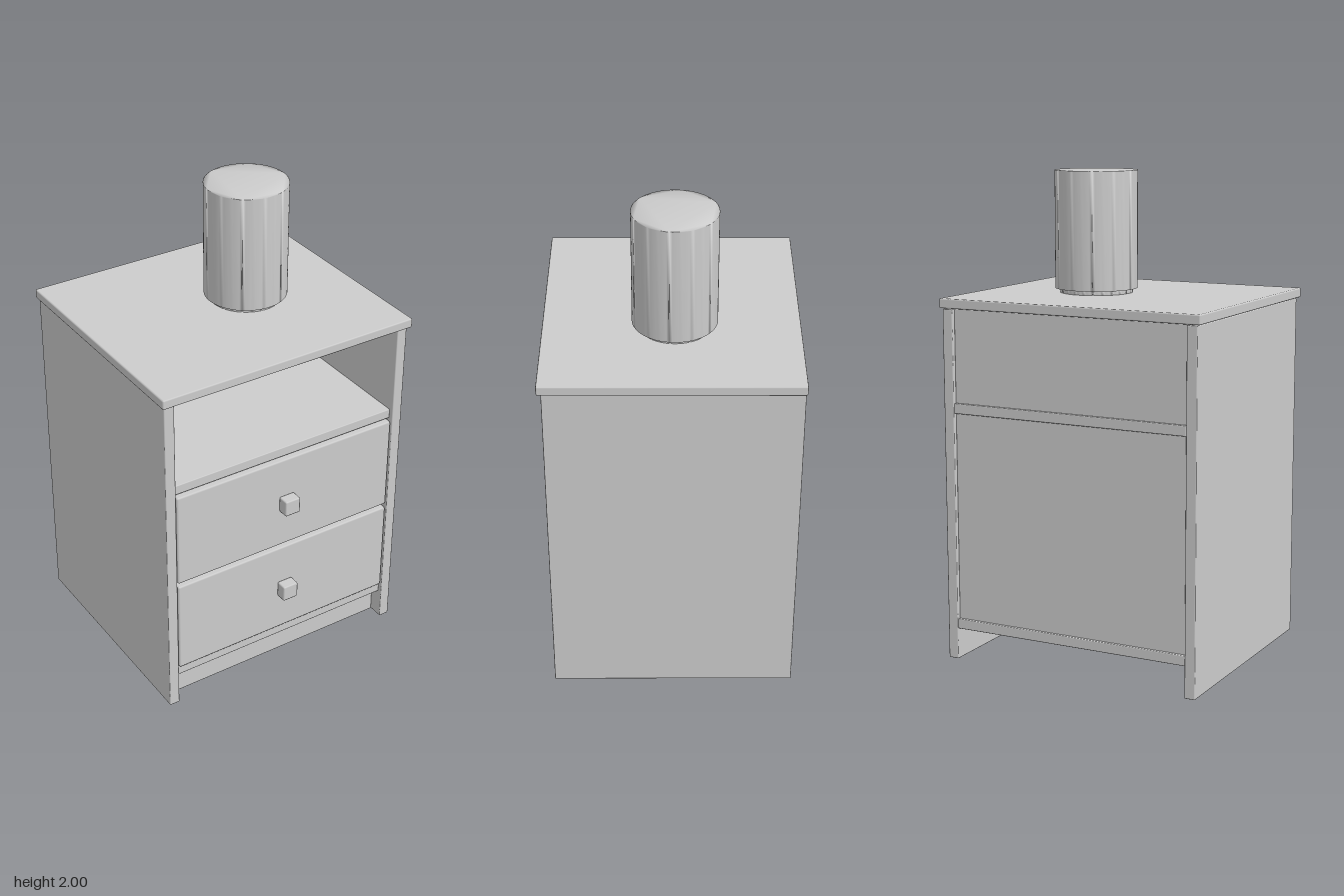
import * as THREE from 'three';
import { mergeVertices } from 'three/addons/utils/BufferGeometryUtils.js';
import { RoundedBoxGeometry } from 'three/addons/geometries/RoundedBoxGeometry.js';

const grey = new THREE.MeshStandardMaterial({ color: 0xcccccc });
grey.name = 'light grey';

export function createModel() {
  const model = new THREE.Group();
  model.name = 'nightstand';

  // Board given by its extents, with a slight edge rounding
  function board(name, [x0, x1], [y0, y1], [z0, z1], radius = 0.004) {
    const geo = new RoundedBoxGeometry(x1 - x0, y1 - y0, z1 - z0, 1, radius);
    const mesh = new THREE.Mesh(geo, grey);
    mesh.name = name;
    mesh.position.set((x0 + x1) / 2, (y0 + y1) / 2, (z0 + z1) / 2);
    model.add(mesh);
  }

  // Closed upright cylinder whose normals are blended over the rims
  function softCylinder(name, radius, y0, y1) {
    const circle = new THREE.Shape().absarc(0, 0, radius, 0, Math.PI * 2);
    let geo = new THREE.ExtrudeGeometry(circle, { depth: y1 - y0, bevelEnabled: false, curveSegments: 48 });
    geo.deleteAttribute('uv');
    geo.deleteAttribute('normal');
    geo = mergeVertices(geo, 1e-4);
    geo.computeVertexNormals();
    geo.rotateX(-Math.PI / 2);
    const mesh = new THREE.Mesh(geo, grey);
    mesh.name = name;
    mesh.position.set(0.125, y0, -0.028);
    model.add(mesh);
  }

  // Carcass
  const inner = [-0.517, 0.517];
  board('top', [-0.575, 0.575], [1.46, 1.5], [-0.525, 0.495], 0.006);
  board('leftSide', [0.517, 0.562], [0, 1.457], [-0.52, 0.478]);
  board('rightSide', [-0.562, -0.517], [0, 1.457], [-0.52, 0.478]);
  board('back', inner, [0.135, 1.46], [-0.505, -0.48]);
  board('plinth', inner, [0, 0.13], [0.37, 0.415]);
  board('shelf', inner, [1.034, 1.076], [-0.518, 0.46]);
  board('bottomShelf', inner, [0.13, 0.172], [-0.518, 0.46]);

  // Drawers with square knobs
  for (const [y0, y1] of [[0.18, 0.595], [0.612, 1.027]]) {
    const mid = (y0 + y1) / 2;
    board('drawerFront', [-0.512, 0.512], [y0, y1], [0.435, 0.476], 0.008);
    board('drawerKnob', [-0.035, 0.035], [mid - 0.035, mid + 0.035], [0.474, 0.524], 0.006);
  }

  // Table lamp
  softCylinder('lampBase', 0.15, 1.5, 1.522);
  softCylinder('lampShade', 0.17, 1.518, 2);

  return model;
}
